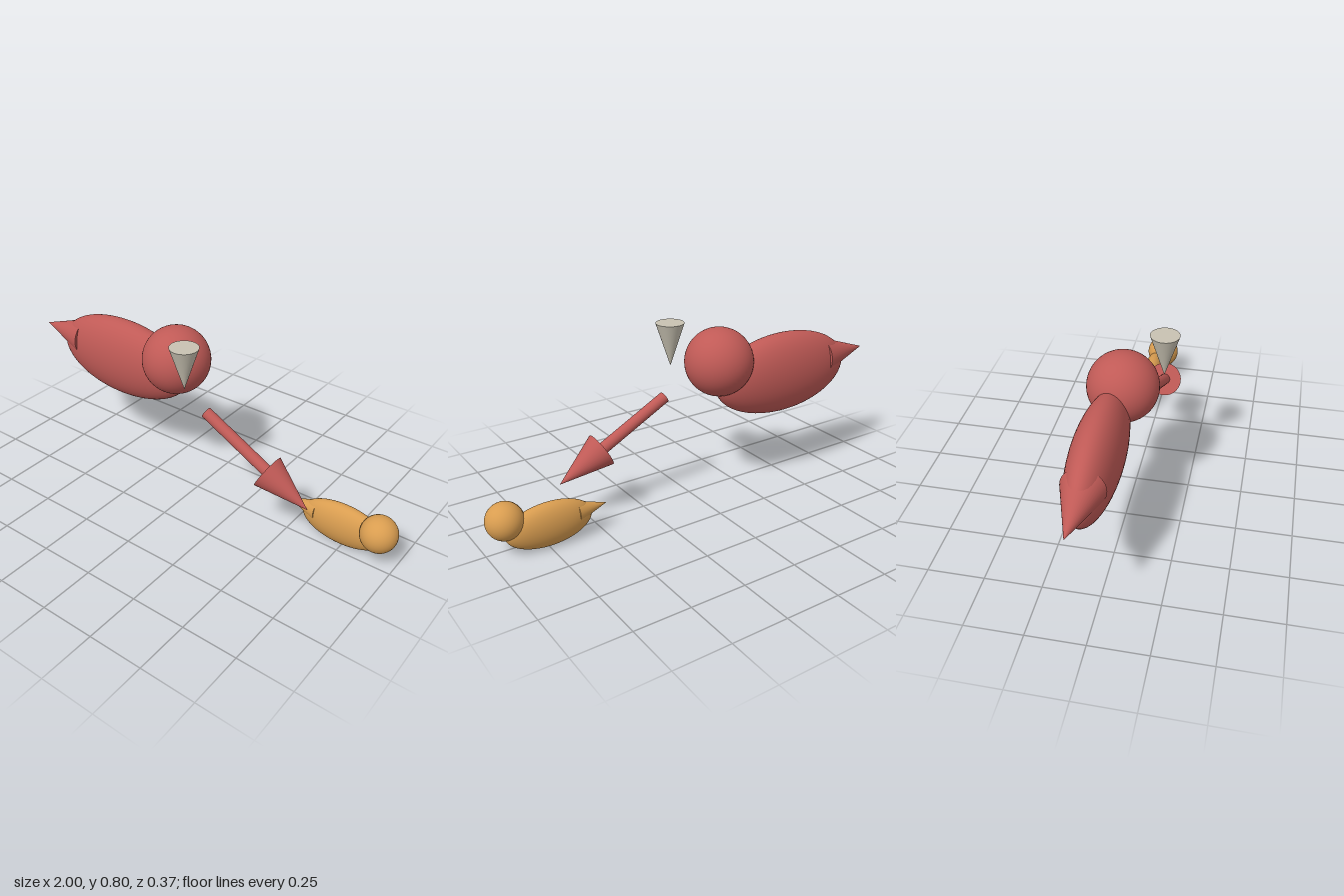
import * as THREE from 'three';

const material = (name, color) => {
  const m = new THREE.MeshStandardMaterial({ color });
  m.name = name;
  return m;
};

function addMesh(parent, name, geometry, mat, x, y, z) {
  const mesh = new THREE.Mesh(geometry, mat);
  mesh.name = name;
  mesh.position.set(x, y, z);
  parent.add(mesh);
  return mesh;
}

// Bird facing +x: flattened egg body, ball head, cone tail; origin at body centre
function makeBird(name, mat, scale) {
  const bird = new THREE.Group();
  bird.name = name;
  const s = scale;
  const body = new THREE.SphereGeometry(1, 48, 32).scale(0.377 * s, 0.191 * s, 0.106 * s);
  addMesh(bird, 'body', body, mat, 0, 0, 0);
  addMesh(bird, 'head', new THREE.SphereGeometry(0.156 * s, 48, 32), mat, 0.343 * s, 0.108 * s, 0.03 * s);
  const tail = new THREE.ConeGeometry(0.092 * s, 0.277 * s, 40).rotateZ(Math.PI / 2);
  addMesh(bird, 'tail', tail, mat, -0.377 * s, 0.032 * s, 0);
  return bird;
}

// Arrow from start to tip
function makeArrow(mat, start, tip) {
  const arrow = new THREE.Group();
  arrow.name = 'arrow';
  const length = start.distanceTo(tip), headLength = 0.235;
  const shaftLength = length - headLength;
  addMesh(arrow, 'arrowShaft', new THREE.CylinderGeometry(0.026, 0.026, shaftLength, 32), mat, 0, shaftLength / 2, 0);
  addMesh(arrow, 'arrowHead', new THREE.ConeGeometry(0.081, headLength, 40), mat, 0, length - headLength / 2, 0);
  arrow.position.copy(start);
  arrow.quaternion.setFromUnitVectors(new THREE.Vector3(0, 1, 0), tip.clone().sub(start).normalize());
  return arrow;
}

export function createModel() {
  const red = material('red', 0xc05a56);
  const amber = material('amber', 0xd99d50);
  const stone = material('stone', 0xc8c2b2);

  const model = new THREE.Group();
  model.name = 'birdsWithArrow';

  const largeBird = makeBird('largeBird', red, 1);
  largeBird.position.set(-0.485, 0.521, -0.06);
  const smallBird = makeBird('smallBird', amber, 0.52);
  smallBird.position.set(0.739, 0.101, -0.059);
  // Seat the small head at the same depth as the large one
  smallBird.getObjectByName('head').position.z = 0.03;
  model.add(largeBird, smallBird);

  model.add(makeArrow(red, new THREE.Vector3(0.092, 0.481, 0.06), new THREE.Vector3(0.627, 0.197, 0.06)));

  // Marker cone pointing down
  const marker = new THREE.ConeGeometry(0.065, 0.2, 40).rotateX(Math.PI);
  addMesh(model, 'markerCone', marker, stone, 0.02, 0.699, 0.12);

  return model;
}
